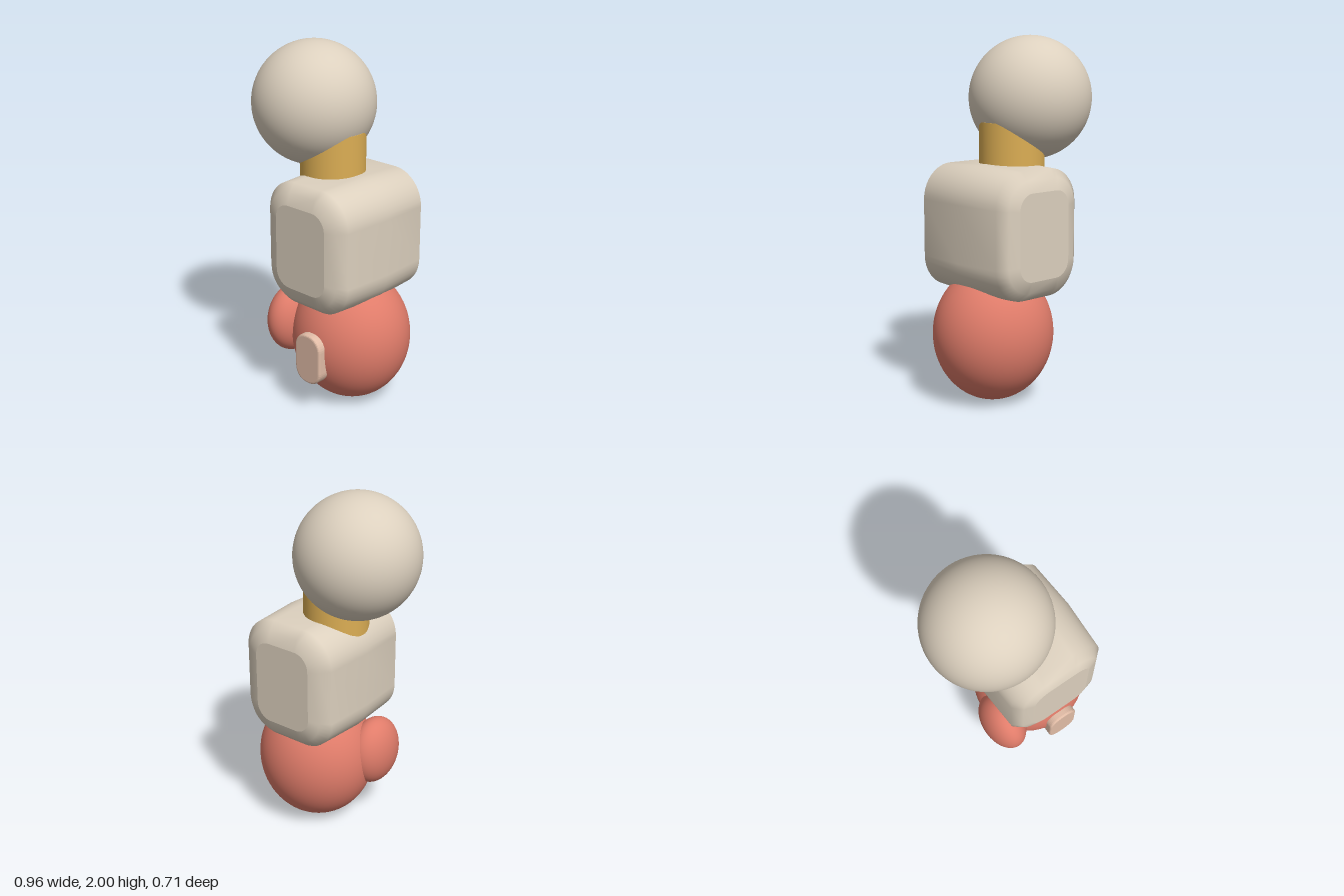
import * as THREE from 'three';

const material = (name, color) => {
  const m = new THREE.MeshStandardMaterial({ color });
  m.name = name;
  return m;
};

// Points around a rounded rectangle, counter-clockwise
function roundedRect(hw, hh, r, steps = 10) {
  const pts = [];
  [[1, 1], [-1, 1], [-1, -1], [1, -1]].forEach(([sx, sy], q) => {
    for (let i = 0; i <= steps; i++) {
      const a = (q + i / steps) * Math.PI / 2;
      pts.push(new THREE.Vector2(sx * (hw - r) + r * Math.cos(a), sy * (hh - r) + r * Math.sin(a)));
    }
  });
  return pts;
}

// Skin through rounded-rectangle rings [z, halfWidth, halfHeight, radius], back to front
function loft(rings) {
  const pos = [], index = [];
  let n = 0;
  for (const [z, hw, hh, r] of rings) {
    const pts = roundedRect(hw, hh, r);
    n = pts.length;
    pts.forEach(p => pos.push(p.x, p.y, z));
  }
  for (let k = 0; k < rings.length - 1; k++) {
    for (let i = 0; i < n; i++) {
      const j = (i + 1) % n, a = k * n + i, b = k * n + j;
      index.push(a, b, b + n, a, b + n, a + n);
    }
  }
  const g = new THREE.BufferGeometry();
  g.setAttribute('position', new THREE.Float32BufferAttribute(pos, 3));
  g.setIndex(index);
  g.computeVertexNormals();
  return g;
}

export function createModel() {
  const model = new THREE.Group();
  model.name = 'figure';
  const cream = material('cream', 0xdcd0be);
  const gold = material('gold', 0xdcae54);
  const coral = material('coral', 0xe07c6a);
  const peach = material('peach', 0xe1bca6);

  const add = (name, geometry, mat, [x, y, z], parent = model) => {
    const mesh = new THREE.Mesh(geometry, mat);
    mesh.name = name;
    mesh.position.set(x, y, z);
    parent.add(mesh);
    return mesh;
  };
  const ball = (name, mat, centre, radii) =>
    add(name, new THREE.SphereGeometry(1, 64, 40), mat, centre).scale.set(...radii);

  // Head and neck
  ball('head', cream, [-0.14, 1.66, 0], [0.34, 0.34, 0.34]);
  add('neck', new THREE.CylinderGeometry(0.18, 0.18, 0.535, 48), gold, [0, 1.2675, 0]);

  // Torso: softly bulging block with flat end faces
  const torso = new THREE.Group();
  torso.name = 'torso';
  torso.position.set(0.095, 0.957, 0);
  model.add(torso);
  const half = [[0, 0.305, 0.357, 0.2], [0.29, 0.29, 0.345, 0.19], [0.335, 0.24, 0.3, 0.15], [0.355, 0.178, 0.235, 0.09]];
  const back = half.slice(1).reverse().map(([z, ...rest]) => [-z, ...rest]);
  add('torsoSkin', loft([...back, ...half]), cream, [0, 0, 0], torso);
  const end = new THREE.ShapeGeometry(new THREE.Shape(roundedRect(0.178, 0.235, 0.09)));
  add('torsoFront', end, cream, [0, 0, 0.355], torso);
  add('torsoBack', end, cream, [0, 0, -0.355], torso).rotation.y = Math.PI;

  // Base and side lobe
  ball('base', coral, [0.14, 0.38, 0], [0.34, 0.375, 0.325]);
  ball('sideLobe', coral, [-0.16, 0.43, 0.15], [0.12, 0.2, 0.18]);

  // Front tab with a small bevel
  const tab = new THREE.ExtrudeGeometry(new THREE.Shape(roundedRect(0.08, 0.133, 0.07)), {
    depth: 0.05, bevelEnabled: true, bevelThickness: 0.012, bevelSize: 0.012, bevelSegments: 3,
  });
  add('frontTab', tab, peach, [0.142, 0.335, 0.293]);

  return model;
}
